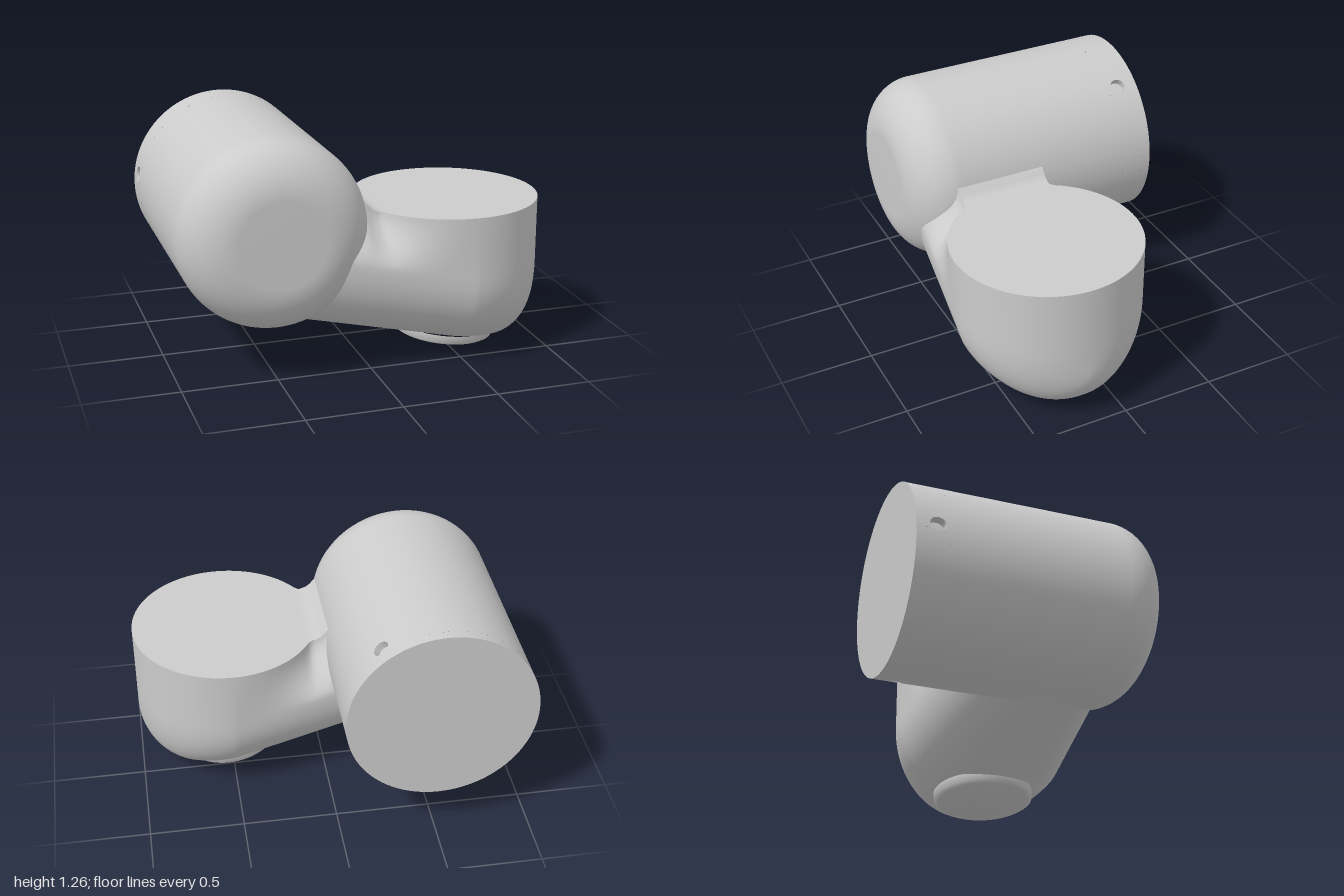
import * as THREE from 'three';

const mat = new THREE.MeshStandardMaterial({ color: 0xcccccc });
const R = 0.495;
const TUBE = { x: -0.505, y: 0.77, back: -0.7, front: 0.67 };
const CUP = { x: 0.503, z: 0.205, top: 0.83 };

// Smooth grid surface; faces look along du x dv
function grid(nu, nv, point) {
  const pos = [], idx = [];
  for (let i = 0; i <= nu; i++)
    for (let j = 0; j <= nv; j++) pos.push(...point(i / nu, j / nv));
  for (let i = 0; i < nu; i++)
    for (let j = 0; j < nv; j++) {
      const a = i * (nv + 1) + j, b = a + nv + 1;
      idx.push(a, b, b + 1, a, b + 1, a + 1);
    }
  const g = new THREE.BufferGeometry();
  g.setAttribute('position', new THREE.Float32BufferAttribute(pos, 3));
  g.setIndex(idx);
  g.computeVertexNormals();
  return g;
}

function add(parent, name, geometry) {
  const m = new THREE.Mesh(geometry, mat);
  m.name = name;
  parent.add(m);
  return m;
}

// Lathe about z from [radius, z] pairs
function latheZ(points, segments = 96, start = 0, length = Math.PI * 2) {
  const pts = points.map(([r, z]) => new THREE.Vector2(r, z));
  return new THREE.LatheGeometry(pts, segments, start, length).rotateX(Math.PI / 2);
}

// Horizontal tube with a rounded front and three small blind holes near the back
function makeTube() {
  const g = new THREE.Group();
  g.name = 'horizontalTube';
  g.position.set(TUBE.x, TUBE.y, 0);
  const zHole = -0.59, half = 0.06, rHole = 0.042, depth = 0.04, dPhi = half / R;

  const profile = [[R, zHole + half], [R, 0]];
  for (let i = 0; i <= 16; i++) {
    const a = (i / 16) * Math.PI / 2;
    profile.push([0.225 + 0.27 * Math.cos(a), 0.42 + 0.25 * Math.sin(a)]);
  }
  profile.push([0, TUBE.front]);
  add(g, 'tubeBody', latheZ(profile));
  add(g, 'tubeBackRim', latheZ([[R, TUBE.back], [R, zHole - half]]));
  add(g, 'tubeBackCap', latheZ([[0, TUBE.back], [R, TUBE.back]]));

  const onTube = (phi, z, r) => [r * Math.sin(phi), -r * Math.cos(phi), z];
  for (let k = 0; k < 3; k++) {
    const phi0 = THREE.MathUtils.degToRad(141.3 + 120 * k);
    add(g, 'tubeBand', latheZ([[R, zHole - half], [R, zHole + half]], 32,
      phi0 + dPhi, Math.PI * 2 / 3 - 2 * dPhi));
    const at = (radius, s, r) => {
      const a = s * Math.PI * 2;
      return onTube(phi0 + radius * Math.cos(a) / R, zHole + radius * Math.sin(a), r);
    };
    const square = s => half / Math.max(Math.abs(Math.cos(s * Math.PI * 2)), Math.abs(Math.sin(s * Math.PI * 2)));
    add(g, 'holeFloor', grid(1, 32, (u, s) => at(rHole * u, s, R - depth)));
    add(g, 'holeBore', grid(1, 32, (u, s) => at(rHole, s, R - depth * (1 - u))));
    add(g, 'holeSurround', grid(2, 32, (u, s) => at(THREE.MathUtils.lerp(rHole, square(s), u), s, R)));
  }
  return g;
}

// Underside height along x: straight slope, gentle flattening, rounded right end
function floorY(x) {
  if (x < 0.46) return 0.165 - 0.22 * x;
  if (x < 0.72) return 0.035 + 0.423 * (0.72 - x) ** 2;
  return 0.035 + 0.3 * (1 - Math.sqrt(Math.max(0, 1 - ((x - 0.72) / 0.278) ** 2)));
}

// Top height: flat, with a small fillet rising into the tube
function topY(x) {
  const t = THREE.MathUtils.clamp((0.08 - x) / 0.11, 0, 1);
  return Math.min(0.9, CUP.top + 0.1 * (1 - Math.sqrt(1 - t * t)));
}

function circleHalf(x) {
  return Math.sqrt(Math.max(0, R * R - (x - CUP.x) ** 2));
}
const lowHalf = x => (x > CUP.x ? circleHalf(x) : R - 0.13 * (CUP.x - x));
const topHalf = x => (x > CUP.x ? circleHalf(x) : Math.max(circleHalf(x), 0.245));

// Sample x evenly on the left and around the circle on the right
function xAt(u) {
  return u < 0.5 ? THREE.MathUtils.lerp(-0.5, CUP.x, u * 2)
    : CUP.x + R * Math.sin((u - 0.5) * Math.PI);
}

// Cup and sloping bridge: U-shaped sections lofted along x
function makeCup() {
  const g = new THREE.Group();
  g.name = 'cupAndBridge';
  add(g, 'cupShell', grid(96, 64, (u, v) => {
    const x = xAt(u), side = v < 0.5 ? -1 : 1, d = Math.abs(v - 0.5) * 2;
    const yc = 0.485 + 0.2 * Math.max(0, CUP.x - x), top = topY(x);
    let z, y;
    if (d < 0.65) {
      const a = (d / 0.65) * Math.PI / 2, p = 2 / 2.2;
      z = lowHalf(x) * Math.sin(a) ** p;
      y = yc - (yc - floorY(x)) * Math.max(0, Math.cos(a)) ** p;
    } else {
      const t = (d - 0.65) / 0.35;
      z = THREE.MathUtils.lerp(lowHalf(x), topHalf(x), t * t * (3 - 2 * t));
      y = yc + (top - yc) * t;
    }
    return [x, y, CUP.z + side * z];
  }));
  add(g, 'cupTop', grid(96, 4, (u, v) => {
    const x = xAt(u);
    return [x, topY(x), CUP.z + topHalf(x) * (1 - 2 * v)];
  }));
  return g;
}

export function createModel() {
  const model = new THREE.Group();
  model.name = 'elbowFitting';
  model.add(makeTube(), makeCup());

  // Shallow domed disc on the sloping underside
  const disc = [[0, -0.062], [0.1, -0.055], [0.19, -0.036], [0.25, -0.014], [0.272, 0], [0.275, 0.04]];
  const foot = add(model, 'undersideDisc',
    new THREE.LatheGeometry(disc.map(p => new THREE.Vector2(...p)), 64));
  foot.position.set(0.505, 0.066, CUP.z);
  foot.rotation.z = -0.1;
  return model;
}
